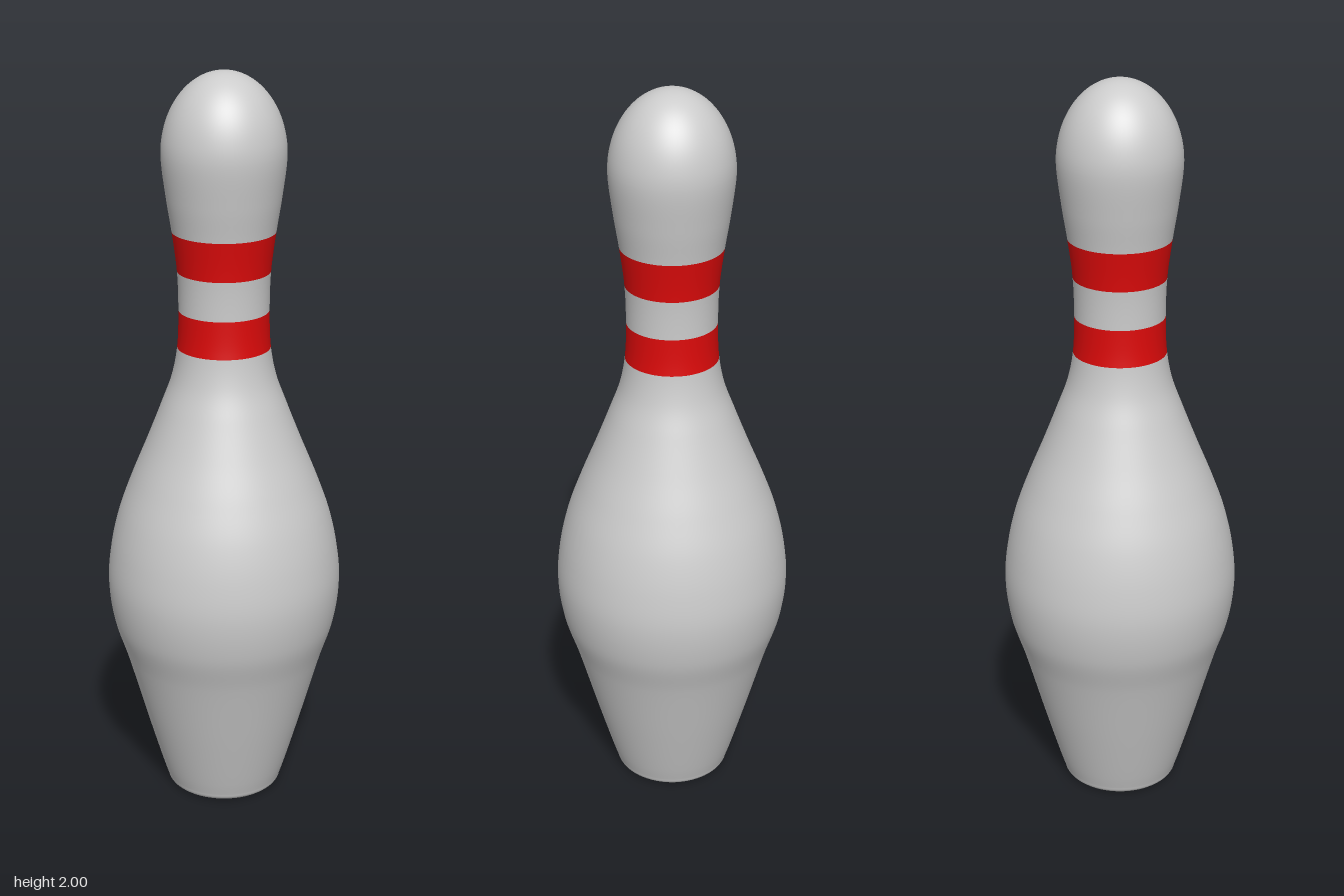
import * as THREE from 'three';

// Outline knots [radius, height] from the foot to the head
const knots = [
  [0.158, 0.02], [0.171, 0.06], [0.212, 0.2], [0.268, 0.4], [0.302, 0.51], [0.315, 0.62], [0.306, 0.72],
  [0.283, 0.82], [0.247, 0.92], [0.206, 1.02], [0.167, 1.12], [0.138, 1.2],
  [0.123, 1.28], [0.119, 1.38], [0.122, 1.485], [0.135, 1.59],
  [0.149, 1.68], [0.161, 1.79],
];
const [band1Low, band1High, band2Low, band2High] = [12, 13, 14, 15];

// Rounded head: quarter ellipse, continued one knot past the pole for a smooth tip
const headStart = knots.length - 1;
for (let i = 1; i <= 7; i++) {
  const a = (i / 6) * Math.PI / 2;
  knots.push([0.161 * Math.cos(a), 1.79 + 0.21 * Math.sin(a)]);
}
const pole = headStart + 6;
const curve = new THREE.CatmullRomCurve3(knots.map(([r, y]) => new THREE.Vector3(r, y, 0)));

// Samples the outline between two knots
function outline(from, to, perKnot = 8) {
  const points = [];
  const n = (to - from) * perKnot;
  for (let i = 0; i <= n; i++) {
    const p = curve.getPoint((from + i / perKnot) / (knots.length - 1));
    points.push(new THREE.Vector2(Math.max(p.x, 0), p.y));
  }
  if (to === pole) points[n].set(0, 2);
  return points;
}

export function createModel() {
  const group = new THREE.Group();
  const grey = new THREE.MeshStandardMaterial({ color: 0xcccccc });
  const red = new THREE.MeshStandardMaterial({ color: 0xdd0a0a });

  const add = (name, points, material) => {
    const mesh = new THREE.Mesh(new THREE.LatheGeometry(points, 72), material);
    mesh.name = name;
    group.add(mesh);
  };

  // Flat underside with a rounded rim, leading into the belly
  const foot = [new THREE.Vector2(0, 0), new THREE.Vector2(0.125, 0)];
  for (let i = 1; i < 6; i++) {
    const a = (i / 6) * Math.PI / 2;
    foot.push(new THREE.Vector2(0.128 + 0.03 * Math.sin(a), 0.02 * (1 - Math.cos(a))));
  }

  add('body', [...foot, ...outline(0, band1Low)], grey);
  add('lowerBand', outline(band1Low, band1High), red);
  add('neck', outline(band1High, band2Low), grey);
  add('upperBand', outline(band2Low, band2High), red);
  add('head', outline(band2High, pole), grey);

  return group;
}
